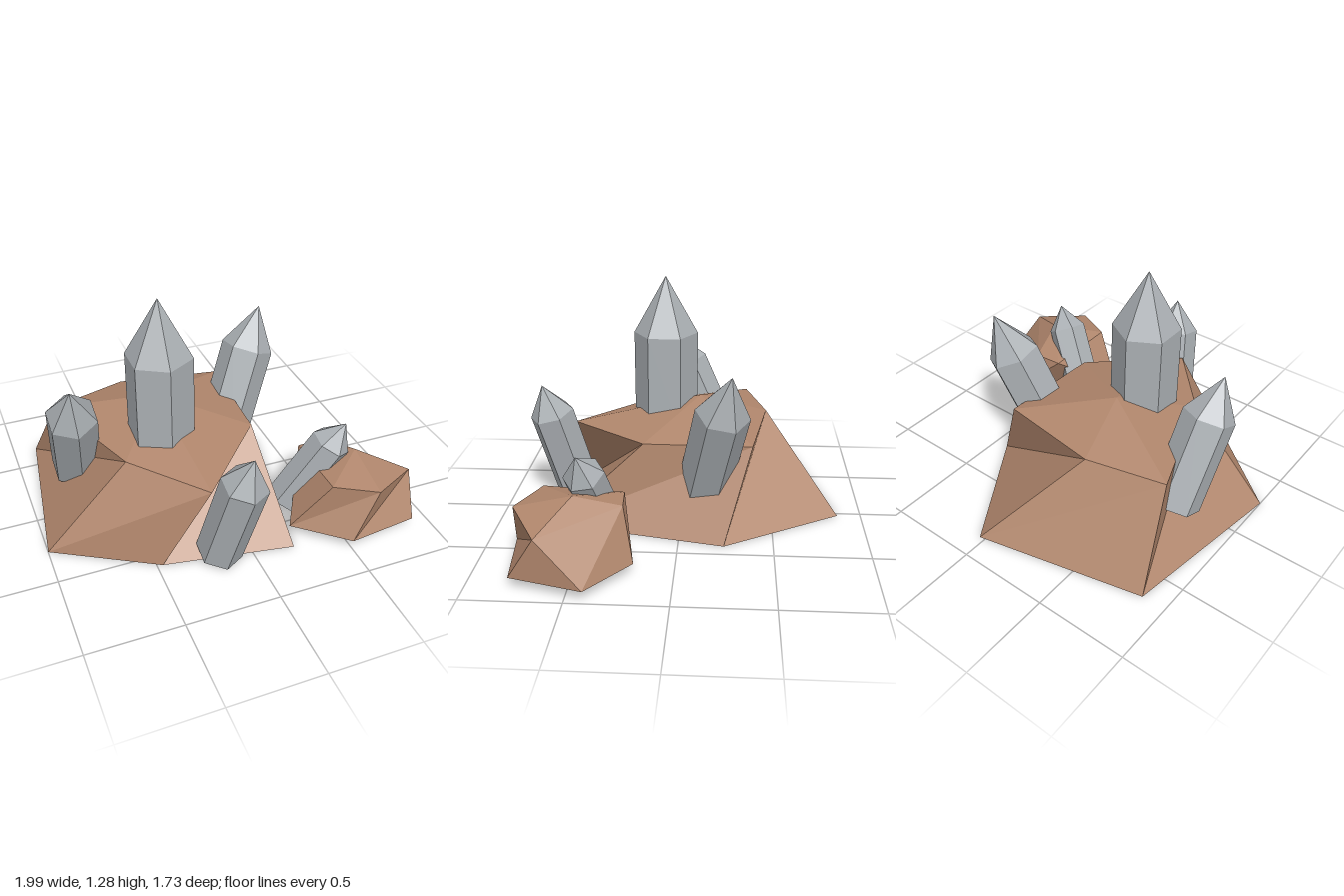
import * as THREE from 'three';

// Faceted rock: a base ring and a rim ring stitched together, with a peak on top.
// Each letter of steps advances along the base (b) or the rim (r).
function rockGeometry(base, rim, peak, steps) {
  const pos = [];
  const tri = (a, b, c) => pos.push(...a, ...b, ...c);
  const nb = base.length, nr = rim.length;
  let b = 0, r = 0;
  for (const step of steps) {
    if (step === 'b') {
      tri(base[b % nb], base[(b + 1) % nb], rim[r % nr]);
      b++;
    } else {
      tri(base[b % nb], rim[(r + 1) % nr], rim[r % nr]);
      r++;
    }
  }
  rim.forEach((p, i) => tri(p, rim[(i + 1) % nr], peak));
  for (let i = 1; i < nb - 1; i++) tri(base[0], base[i + 1], base[i]);
  const geo = new THREE.BufferGeometry();
  geo.setAttribute('position', new THREE.Float32BufferAttribute(pos, 3));
  geo.computeVertexNormals();
  return geo;
}

// Six-sided crystal from its foot to its tip; shoulder is where the point starts.
function crystalGeometry(foot, tip, radius, shoulder) {
  const a = new THREE.Vector3(...foot);
  const axis = new THREE.Vector3(...tip).sub(a);
  const h = axis.length();
  const profile = [[0, 0], [radius, 0], [radius, h * shoulder], [0, h]];
  const geo = new THREE.LatheGeometry(profile.map(p => new THREE.Vector2(...p)), 6);
  geo.applyQuaternion(new THREE.Quaternion().setFromUnitVectors(
    new THREE.Vector3(0, 1, 0), axis.normalize()));
  return geo.translate(...foot);
}

export function createModel() {
  const model = new THREE.Group();
  model.name = 'crystalRocks';
  const stone = new THREE.MeshStandardMaterial({ color: 0xb0866c, flatShading: true });
  stone.name = 'brown stone';
  const crystal = new THREE.MeshStandardMaterial({ color: 0xabb0b4, flatShading: true });
  crystal.name = 'grey crystal';

  const add = (name, geo, mat) => {
    const mesh = new THREE.Mesh(geo, mat);
    mesh.name = name;
    model.add(mesh);
  };

  // Rocks
  add('largeRock', rockGeometry(
    [[-1, 0, 0.27], [-0.47, 0, 0.58], [0.22, 0, 0.7], [0.42, 0, -0.24], [0.03, 0, -0.87], [-0.87, 0, -0.66]],
    [[-0.55, 0.46, 0.26], [-0.22, 0.44, 0.63], [0.18, 0.47, 0.2], [0.2, 0.475, -0.385], [-0.36, 0.48, -0.47], [-0.78, 0.47, -0.36]],
    [-0.27, 0.6, -0.09], 'rbrbrbrbrbrb'), stone);
  add('smallRock', rockGeometry(
    [[0.24, 0.055, 0.6], [0.5, 0.055, 0.83], [0.885, 0.055, 0.785], [0.99, 0.055, 0.41], [0.72, 0.055, 0.2]],
    [[0.44, 0.31, 0.27], [0.43, 0.33, 0.69], [0.65, 0.315, 0.8], [0.92, 0.28, 0.645], [0.6, 0.31, 0.26]],
    [0.66, 0.385, 0.5], 'rrbrbbrbrb'), stone);

  // Crystals
  const crystals = [
    ['mainCrystal', [-0.305, 0.4, 0.11], [-0.305, 1.28, 0.11], 0.18, 0.635],
    ['frontCrystal', [-0.17, 0.03, 0.61], [-0.065, 0.705, 0.785], 0.125, 0.75],
    ['rightCrystal', [-0.72, 0.18, -0.18], [-0.78, 0.845, 0.12], 0.14, 0.7],
    ['leftCrystal', [0.15, 0.23, -0.13], [0.42, 0.925, -0.27], 0.145, 0.68],
    ['smallCrystal', [0.32, 0.06, 0.38], [0.595, 0.56, 0.49], 0.11, 0.76],
  ];
  for (const [name, ...shape] of crystals) add(name, crystalGeometry(...shape), crystal);

  return model;
}
